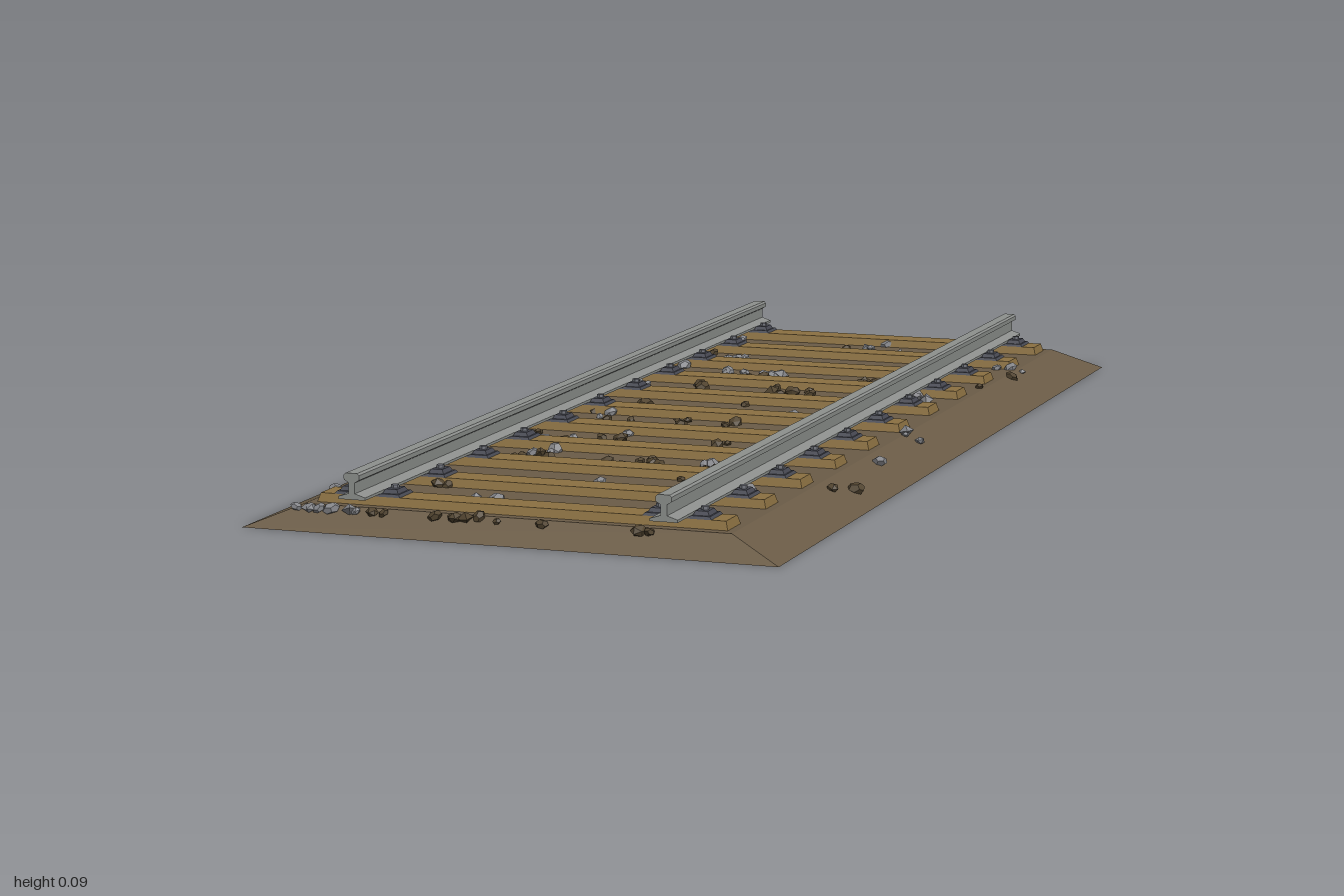
import * as THREE from 'three';

const mat = (name, color, flatShading = true) => {
  const m = new THREE.MeshStandardMaterial({ color });
  m.name = name;
  m.flatShading = flatShading;
  return m;
};

const HALF_W = 0.413, HALF_L = 0.912, BED_Y = 0.034, TOP_W = 0.33, TOP_L = 0.872;
const RAIL_X = 0.24, TIES = 11, TIE_STEP = 0.1655;

// Small seeded generator for the scattered stones
function seeded(seed) {
  return () => {
    seed = (seed * 16807) % 2147483647;
    return seed / 2147483647;
  };
}

// Box whose top face is shrunk by insets, standing on y = 0
function taperedBox(w, h, l, insetX, insetZ) {
  const g = new THREE.BoxGeometry(w, h, l).translate(0, h / 2, 0);
  const p = g.attributes.position;
  for (let i = 0; i < p.count; i++) {
    if (p.getY(i) < h / 2) continue;
    p.setX(i, p.getX(i) - Math.sign(p.getX(i)) * insetX);
    p.setZ(i, p.getZ(i) - Math.sign(p.getZ(i)) * insetZ);
  }
  g.computeVertexNormals();
  return g;
}

// I-shaped rail section: foot, web and head
function railGeometry(length) {
  const half = [[0.021, 0], [0.021, 0.004], [0.005, 0.009], [0.005, 0.025],
    [0.012, 0.029], [0.012, 0.036], [0.009, 0.039]];
  const pts = [...half, ...half.slice().reverse().map(([x, y]) => [-x, y])];
  const shape = new THREE.Shape(pts.map(([x, y]) => new THREE.Vector2(x, y)));
  return new THREE.ExtrudeGeometry(shape, { depth: length, bevelEnabled: false })
    .translate(0, 0, -length / 2);
}

export function createModel() {
  const model = new THREE.Group();
  model.name = 'railwayTrack';
  const track = new THREE.Group();
  track.name = 'track';
  track.rotation.y = 0.466;
  model.add(track);

  const earth = mat('earth', 0x6b5c47);
  const wood = mat('wood', 0x8c7142);
  const steel = mat('steel', 0x8e918e);
  const iron = mat('darkIron', 0x484a54);
  const bolt = mat('boltMetal', 0x73767e);
  const greyStone = mat('greyStone', 0x85868a);
  const brownStone = mat('brownStone', 0x50432f);

  const add = (parent, name, geometry, material, x = 0, y = 0, z = 0) => {
    const m = new THREE.Mesh(geometry, material);
    m.name = name;
    m.position.set(x, y, z);
    parent.add(m);
    return m;
  };

  // Sloped bed
  add(track, 'bed', taperedBox(HALF_W * 2, BED_Y, HALF_L * 2, HALF_W - TOP_W, HALF_L - TOP_L), earth);

  // Ties with plates, clamps and bolts under each rail
  const tieGeo = taperedBox(0.64, 0.02, 0.06, 0.006, 0.006);
  const plateGeo = taperedBox(0.104, 0.004, 0.05, 0.003, 0.003);
  const clampGeo = taperedBox(0.026, 0.007, 0.036, 0.004, 0.004);
  const boltGeo = new THREE.CylinderGeometry(0.006, 0.006, 0.006, 6);
  for (let i = 0; i < TIES; i++) {
    const tie = new THREE.Group();
    tie.name = 'tie';
    tie.position.set(0, 0.027, (i - (TIES - 1) / 2) * TIE_STEP);
    track.add(tie);
    add(tie, 'sleeper', tieGeo, wood);
    for (const side of [-1, 1]) {
      add(tie, 'plate', plateGeo, iron, side * RAIL_X, 0.02, 0);
      for (const s of [-1, 1]) {
        const x = side * RAIL_X + s * 0.034;
        add(tie, 'clamp', clampGeo, iron, x, 0.023, 0);
        add(tie, 'bolt', boltGeo, bolt, x, 0.032, 0);
      }
    }
  }

  // Rails
  const railGeo = railGeometry(1.81);
  for (const side of [-1, 1]) add(track, 'rail', railGeo, steel, side * RAIL_X, 0.051, 0);

  // Loose stones scattered in small clusters
  const rnd = seeded(4711);
  const stoneGeos = [new THREE.DodecahedronGeometry(1, 0), new THREE.IcosahedronGeometry(1, 0),
    new THREE.OctahedronGeometry(1, 0)];
  const bedHeight = (x, z) => BED_Y * Math.max(0, Math.min(1,
    (HALF_W - Math.abs(x)) / (HALF_W - TOP_W), (HALF_L - Math.abs(z)) / (HALF_L - TOP_L)));
  const stones = new THREE.Group();
  stones.name = 'stones';
  track.add(stones);
  for (let c = 0; c < 105; c++) {
    const gap = Math.floor(rnd() * (TIES + 1)) - TIES / 2;
    const cx = (rnd() * 2 - 1) * 0.36;
    const cz = gap * TIE_STEP + (rnd() - 0.5) * 0.09;
    const material = rnd() < 0.4 ? greyStone : brownStone;
    const count = 1 + Math.floor(rnd() * 3);
    for (let k = 0; k < count; k++) {
      const x = THREE.MathUtils.clamp(cx + (rnd() - 0.5) * 0.05, -0.38, 0.38);
      const z = THREE.MathUtils.clamp(cz + (rnd() - 0.5) * 0.05, -0.88, 0.88);
      const r = 0.006 + rnd() * 0.007;
      const s = add(stones, 'stone', stoneGeos[k % 3], material, x, bedHeight(x, z) + r * 0.3, z);
      s.scale.set(r * 1.2, r * 0.75, r);
      s.rotation.set(rnd() * 0.6, rnd() * 6.28, rnd() * 0.6);
    }
  }
  return model;
}
